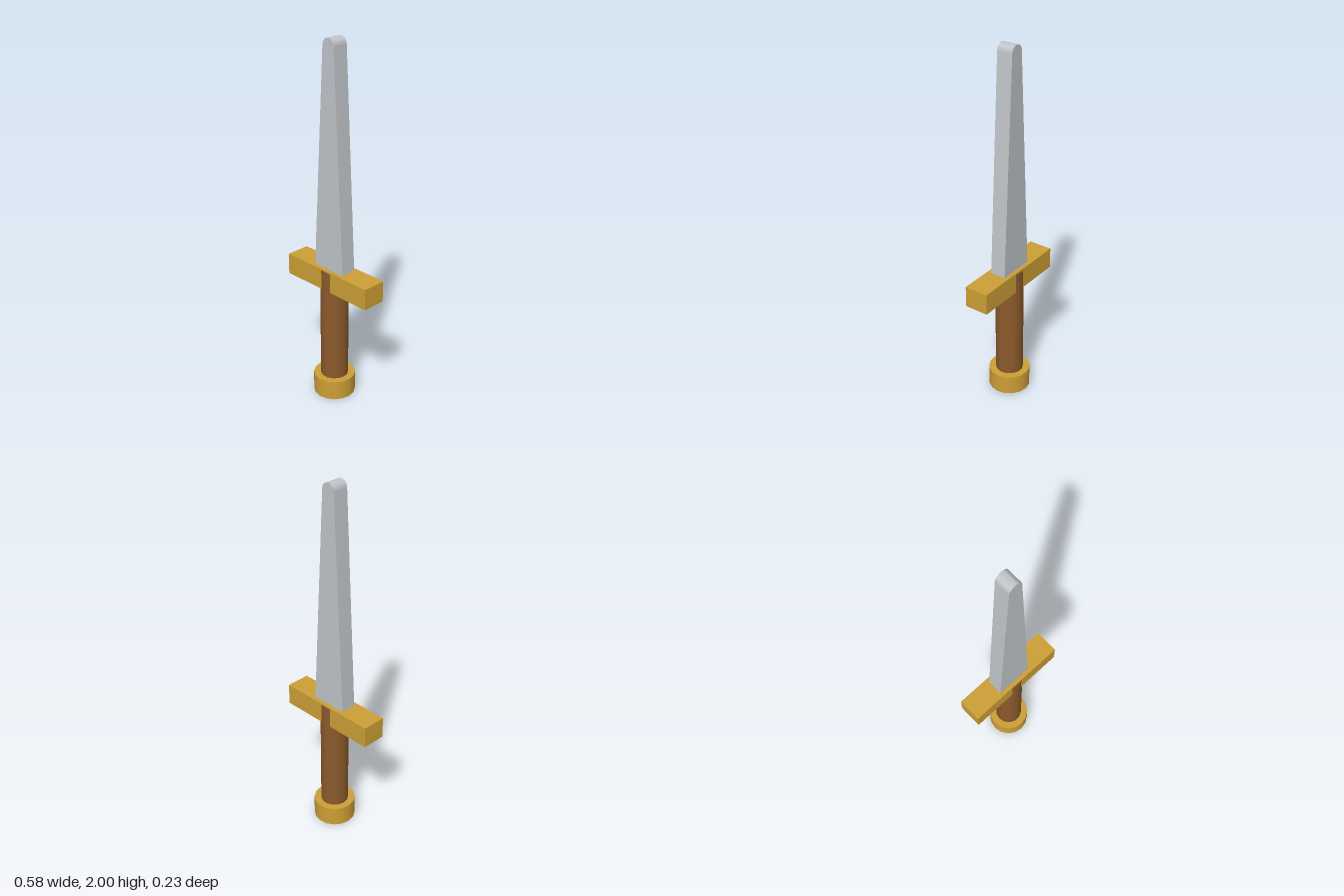
import * as THREE from 'three';
import { toCreasedNormals } from 'three/addons/utils/BufferGeometryUtils.js';

export function createModel() {
  const material = (name, color) => {
    const m = new THREE.MeshStandardMaterial({ color });
    m.name = name;
    return m;
  };
  const gold = material('gold', 0xcc9f36);
  const steel = material('steel', 0xc0c4c8);
  const leather = material('brown leather', 0x8b5a2b);

  const model = new THREE.Group();
  model.name = 'sword';
  const add = (name, geometry, mat, y = 0) => {
    const mesh = new THREE.Mesh(geometry, mat);
    mesh.name = name;
    mesh.position.y = y;
    model.add(mesh);
    return mesh;
  };

  // Round pommel at the base
  add('pommel', new THREE.CylinderGeometry(0.115, 0.115, 0.112, 16), gold, 0.056);

  // Grip, slightly thicker than the guard so it shows through front and back
  const gripBottom = 0.09, gripTop = 0.762;
  const grip = new THREE.CylinderGeometry(0.0765, 0.0765, gripTop - gripBottom, 14);
  grip.rotateY(Math.PI / 2);
  add('grip', grip, leather, (gripBottom + gripTop) / 2);

  // Straight crossguard
  add('guard', new THREE.BoxGeometry(0.578, 0.118, 0.134), gold, 0.709);

  // Tapered blade with a rounded tip
  const base = 0.765, tipRadius = 0.038, depth = 0.088;
  const outline = new THREE.Shape();
  outline.moveTo(-0.103, base);
  outline.lineTo(0.103, base);
  outline.lineTo(tipRadius, 2 - tipRadius);
  outline.absarc(0, 2 - tipRadius, tipRadius, 0, Math.PI, false);
  outline.closePath();
  const blade = new THREE.ExtrudeGeometry(outline, { depth, bevelEnabled: false, curveSegments: 14 });
  blade.translate(0, 0, -depth / 2);
  add('blade', toCreasedNormals(blade, 0.6), steel);

  return model;
}
